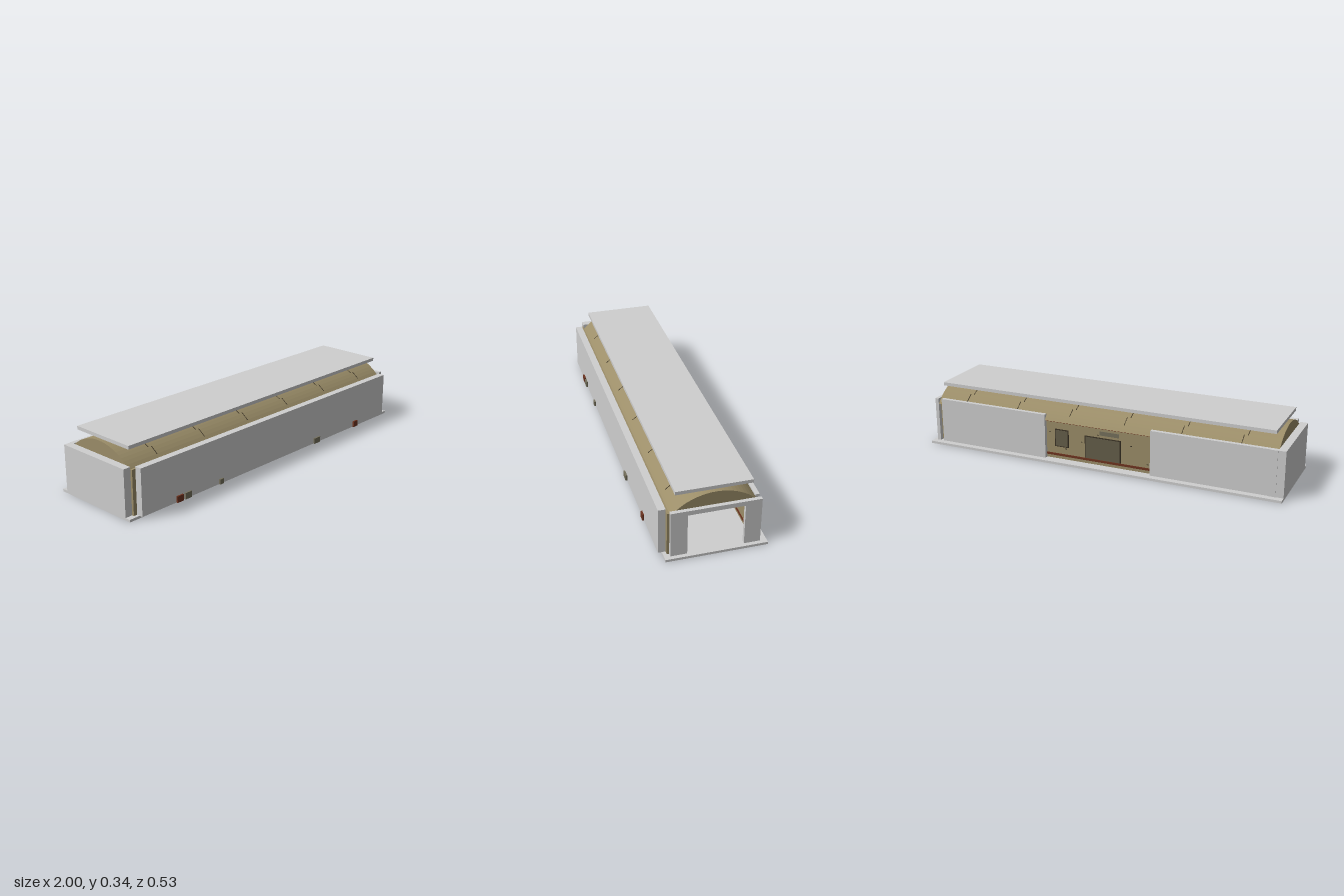
import * as THREE from 'three';

const mat = (name, color, extra = {}) => new THREE.MeshStandardMaterial({ name, color, ...extra });

export function createModel() {
  const group = new THREE.Group();
  const grey = mat('palePlaster', 0xcfcfcf);
  const tan = mat('tanStone', 0x9c8e69);
  const red = mat('redBrick', 0x6e3420);
  const olive = mat('oliveBrick', 0x75705c);
  const pane = mat('dullPane', 0x655e4a);
  const dark = mat('darkJoint', 0x3c3426);

  // box given by its minimum and maximum on each axis
  const box = (name, m, x0, x1, y0, y1, z0, z1) => {
    const mesh = new THREE.Mesh(new THREE.BoxGeometry(x1 - x0, y1 - y0, z1 - z0), m);
    mesh.position.set((x0 + x1) / 2, (y0 + y1) / 2, (z0 + z1) / 2);
    mesh.name = name;
    group.add(mesh);
    return mesh;
  };

  const floorY = 0.013, wallY = 0.257;

  // floor and raised roof plate
  box('floorSlab', grey, -1, 1, 0, floorY, -0.265, 0.235);
  box('roofPlate', grey, -0.94, 0.94, 0.327, 0.345, -0.2, 0.175);

  // outer plaster walls
  box('frontWall', grey, -0.94, 0.94, floorY, wallY, 0.218, 0.255);
  box('backWallLeft', grey, 0.3, 0.94, floorY, wallY, -0.232, -0.21);
  box('backWallRight', grey, -0.93, -0.3, floorY, wallY, -0.232, -0.21);
  box('closedEndWall', grey, -1, -0.96, floorY, wallY, -0.232, 0.206);
  box('closedEndCorner', grey, -0.96, -0.925, floorY, wallY, -0.235, -0.21);

  // open end: two jambs and a lintel
  box('doorJambFront', grey, 0.96, 0.98, floorY, wallY, 0.125, 0.206);
  box('doorJambBack', grey, 0.96, 0.98, floorY, wallY, -0.232, -0.152);
  box('doorLintel', grey, 0.96, 0.98, 0.233, wallY, -0.152, 0.125);

  // inner stone walls
  box('innerFrontWall', tan, -0.96, 0.96, floorY, 0.245, 0.206, 0.218);
  box('innerBackWall', tan, -0.96, 0.96, floorY, 0.245, -0.21, -0.198);

  // vaulted roof: circular segment swept along x
  const cz = -0.013, cy = 0.04, R = 0.287, half = 0.218;
  const a = Math.asin(half / R);
  const section = new THREE.Shape();
  for (let i = 0; i <= 24; i++) {
    const t = -a + (2 * a * i) / 24;
    const px = -cz + R * Math.sin(t), py = cy + R * Math.cos(t);
    if (i) section.lineTo(px, py); else section.moveTo(px, py);
  }
  section.closePath();
  const vault = new THREE.Mesh(new THREE.ExtrudeGeometry(section, { depth: 1.92, bevelEnabled: false }), tan);
  vault.rotation.y = Math.PI / 2;
  vault.position.x = -0.96;
  vault.name = 'vault';
  group.add(vault);

  // stepped joints across both slopes of the vault
  const joint = (x, t, w, len) => {
    const m = box('vaultJoint', dark, -w / 2, w / 2, -0.001, 0.001, -len / 2, len / 2);
    m.position.set(x, cy + R * Math.cos(t), cz + R * Math.sin(t));
    m.rotation.x = t;
  };
  for (let i = 0; i < 6; i++) {
    const x = -0.78 + i * 0.312;
    for (const s of [-1, 1]) {
      joint(x, s * 0.32, 0.024, 0.006);
      joint(x - 0.01, s * 0.44, 0.003, 0.066);
      joint(x + 0.01, s * 0.64, 0.003, 0.05);
    }
  }

  // painted bands, panes and joints on both faces of the back stone wall
  for (const [side, z, span] of [['outer', -0.212, 0.3], ['inner', -0.197, 0.955]]) {
    const plate = (name, m, x0, x1, y0, y1, lift = 0) =>
      box(side + name, m, x0, x1, y0, y1, z - 0.002 - lift, z + 0.002 + lift);
    plate('UpperBand', red, -span, span, 0.218, 0.234);
    plate('LowerBand', red, -span, span, 0.03, 0.042);
    plate('SmallWindowFrame', dark, 0.17, 0.25, 0.082, 0.18);
    plate('SmallWindow', pane, 0.175, 0.245, 0.087, 0.175, 0.001);
    plate('LargeDoorFrame', dark, -0.13, 0.075, 0.044, 0.168);
    plate('LargeDoor', pane, -0.125, 0.07, 0.044, 0.163, 0.001);
    plate('Vent', olive, -0.12, -0.01, 0.182, 0.204);
    const n = Math.round(span * 24);
    for (let i = 0; i < n; i++) {
      const x = -span + 0.02 + ((2 * span - 0.04) * i) / (n - 1);
      const y = 0.06 + 0.14 * ((i * 0.618) % 1);
      plate('StoneJoint', dark, x - 0.005, x + 0.005, y, y + 0.003, -0.0005);
    }
  }

  // exposed bricks low on the front wall
  for (const [x0, x1, h, m] of [
    [-0.725, -0.685, 0.046, red], [-0.672, -0.63, 0.046, olive], [-0.435, -0.408, 0.04, olive],
    [0.302, 0.35, 0.044, olive], [0.655, 0.69, 0.046, red],
  ]) box('frontBrick', m, x0, x1, floorY, h, 0.25, 0.264);

  // exposed bricks on the inside of the closed end
  for (const [z0, z1, y0, y1] of [
    [-0.009, 0.033, 0.056, 0.09], [-0.112, -0.066, 0.055, 0.08],
    [0.047, 0.071, 0.015, 0.045], [-0.104, -0.072, 0.015, 0.052],
  ]) box('endBrick', red, -0.965, -0.952, y0, y1, z0, z1);

  return group;
}
